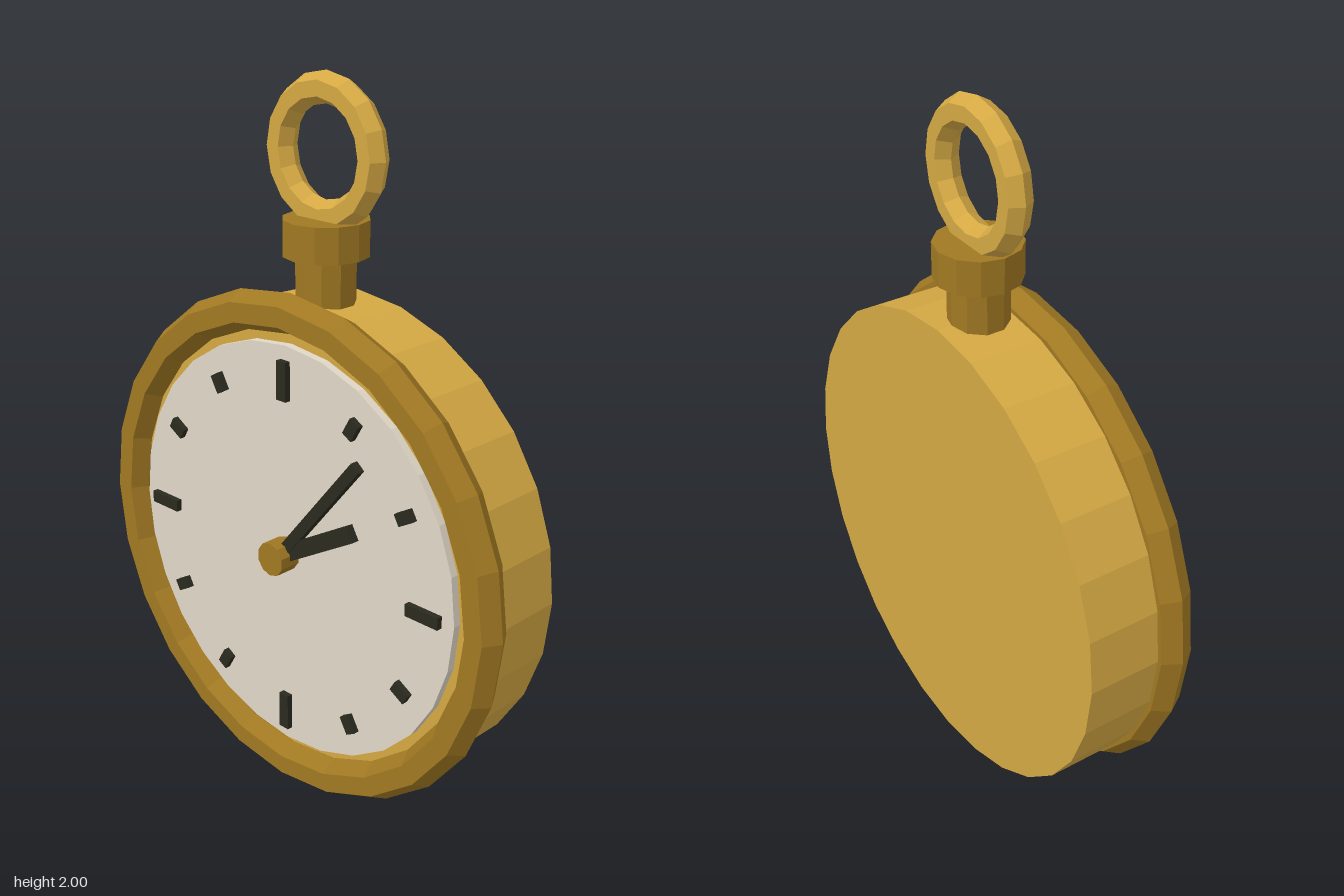
import * as THREE from 'three';

export function createModel() {
  const group = new THREE.Group();
  const mat = (name, color) => {
    const m = new THREE.MeshStandardMaterial({ color, flatShading: true });
    m.name = name;
    return m;
  };
  const gold = mat('gold', 0xd4a843);
  const darkGold = mat('dark gold', 0xa07822);
  const cream = mat('cream', 0xe0d7c6);
  const ink = mat('ink', 0x2a2a20);

  const CY = 0.73;       // centre height of the watch
  const STEM_Z = -0.045; // depth of the crown and loop

  const add = (name, geometry, material, x, y, z) => {
    const mesh = new THREE.Mesh(geometry, material);
    mesh.name = name;
    mesh.position.set(x, y, z);
    group.add(mesh);
    return mesh;
  };

  // Disc facing the front, spanning z0 to z1
  const disc = (name, r, z0, z1, sides, material) =>
    add(name, new THREE.CylinderGeometry(r, r, z1 - z0, sides).rotateX(Math.PI / 2),
      material, 0, CY, (z0 + z1) / 2);

  // Bar lying on a clock radius, angle measured clockwise from twelve
  const bar = (name, angle, r0, r1, width, z0, z1) => {
    const mid = (r0 + r1) / 2;
    const mesh = add(name, new THREE.BoxGeometry(width, r1 - r0, z1 - z0), ink,
      Math.sin(angle) * mid, CY + Math.cos(angle) * mid, (z0 + z1) / 2);
    mesh.rotation.z = -angle;
  };

  // Case, bezel and dial
  disc('case', 0.687, -0.168, 0.082, 28, gold);
  add('bezel', new THREE.TorusGeometry(0.673, 0.055, 6, 24), darkGold, 0, CY, 0.085);
  disc('dial', 0.592, 0.07, 0.105, 28, cream);

  // Hour markers, longer at the quarters
  for (let i = 0; i < 12; i++) {
    const half = i % 3 === 0 ? 0.054 : 0.026;
    bar('hourMarker', i * Math.PI / 6, 0.498 - half, 0.498 + half, 0.034, 0.1, 0.122);
  }

  // Hands and centre hub
  bar('hourHand', Math.PI / 3, 0, 0.305, 0.046, 0.114, 0.136);
  bar('minuteHand', 0.688, 0, 0.443, 0.032, 0.116, 0.139);
  disc('hub', 0.048, 0.1, 0.168, 10, darkGold);

  // Stem, crown and hanging loop
  add('stem', new THREE.CylinderGeometry(0.081, 0.081, 0.17, 10), darkGold, 0, 1.465, STEM_Z);
  add('crown', new THREE.CylinderGeometry(0.116, 0.116, 0.096, 12), darkGold, 0, 1.583, STEM_Z);
  add('loop', new THREE.TorusGeometry(0.161, 0.041, 6, 16), gold, 0, 1.798, STEM_Z);

  return group;
}
